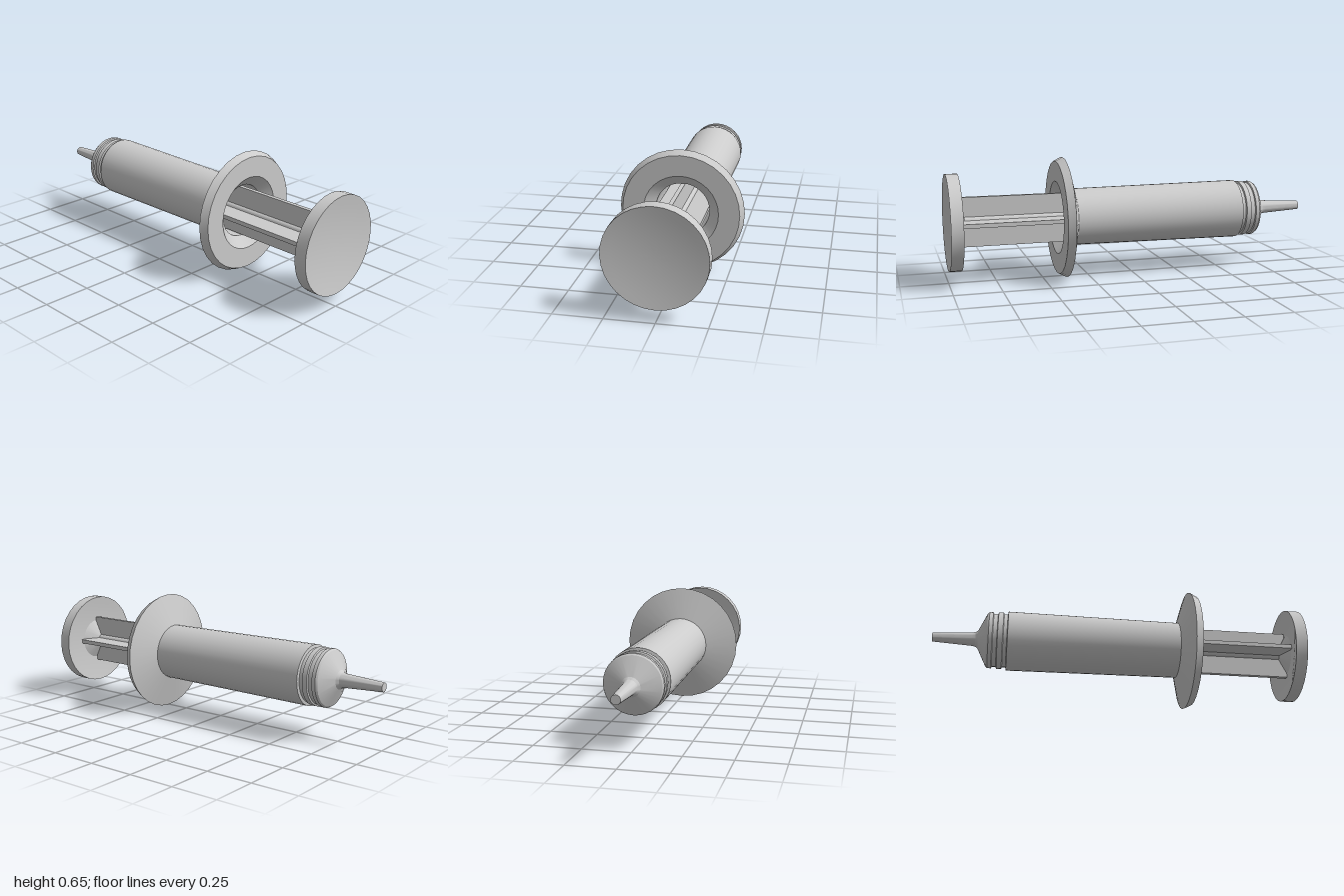
import * as THREE from 'three';
import { toCreasedNormals } from 'three/addons/utils/BufferGeometryUtils.js';

const AXIS = 0.324; // height of the long axis
const SIDES = 32;

export function createModel() {
  const model = new THREE.Group();
  model.name = 'syringe';
  const mat = new THREE.MeshStandardMaterial({ color: 0xcccccc });

  // Turned part: profile points are [x along the axis, radius], outside runs towards +x
  const turned = (name, profile) => {
    const pts = profile.map(([x, r]) => new THREE.Vector2(r, x));
    const geo = toCreasedNormals(new THREE.LatheGeometry(pts, SIDES), 0.4);
    geo.rotateZ(-Math.PI / 2);
    const mesh = new THREE.Mesh(geo, mat);
    mesh.name = name;
    mesh.position.y = AXIS;
    return mesh;
  };

  // Shallow dish from the rim radius to the centre
  const dish = (x, depth, r) => Array.from({ length: 7 }, (_, i) => {
    const t = 1 - i / 6;
    return [x + depth * (1 - t * t), r * t];
  });

  // Barrel: nozzle, shoulder, grooved collar, tube, finger flange and bore
  model.add(turned('barrel', [
    [-1, 0], [-1, 0.024], [-0.79, 0.036], [-0.77, 0.04], [-0.757, 0.05],
    [-0.71, 0.145], [-0.70, 0.152], [-0.68, 0.152],
    [-0.677, 0.144], [-0.655, 0.144], [-0.652, 0.153], [-0.625, 0.153],
    [-0.622, 0.144], [-0.603, 0.144], [-0.6, 0.16],
    [0.33, 0.152], [0.38, 0.323], [0.42, 0.303],
    [0.42, 0.195], [0.37, 0.14], [-0.68, 0.137], [-0.72, 0],
  ]));

  const plunger = new THREE.Group();
  plunger.name = 'plunger';
  model.add(plunger);

  // Core rod with stopper and flared end
  plunger.add(turned('stopper', [[-0.6, 0], [-0.56, 0.134], [-0.46, 0.134], [-0.46, 0]]));
  plunger.add(turned('coreRod', [[-0.47, 0.03], [0.91, 0.03], [0.96, 0.13]]));

  // Crossed fins
  const length = 1.42;
  [0, Math.PI / 2].forEach((angle, i) => {
    const fin = new THREE.Mesh(new THREE.BoxGeometry(length, 0.264, 0.022), mat);
    fin.name = 'fin' + (i + 1);
    fin.position.set(-0.47 + length / 2, AXIS, 0);
    fin.rotation.x = angle;
    plunger.add(fin);
  });

  // Thumb rest, dished on both faces
  plunger.add(turned('thumbRest', [
    ...dish(0.936, 0.02, 0.255).reverse(),
    ...dish(1, -0.02, 0.255),
  ]));

  return model;
}
